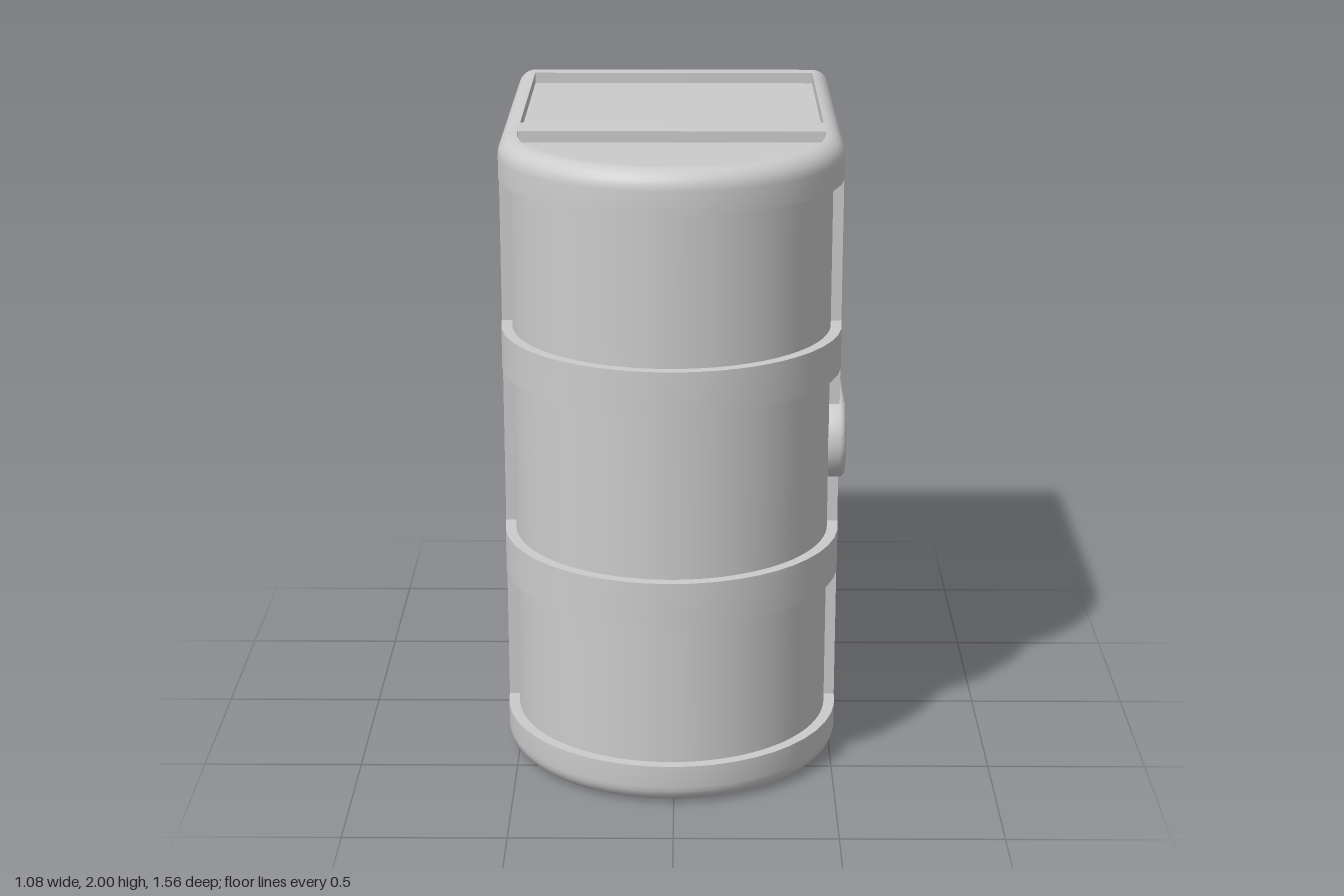
import * as THREE from 'three';
import { toCreasedNormals } from 'three/addons/utils/BufferGeometryUtils.js';

const R = 0.53;         // half width, also the radius of the domed lid
const ZC = 0.25;        // centre of the dome
const BACK = -0.78;
const EDGE = 0.06;      // rounding of the long edges
const RECESS = 0.035;   // depth of the panels
const SEG = 24;

const material = new THREE.MeshStandardMaterial({ color: 0xcccccc });

function part(name, geometry) {
  const mesh = new THREE.Mesh(toCreasedNormals(geometry, 0.6), material);
  mesh.name = name;
  return mesh;
}

// Sweeps a section of [inset, y] points around the U-shaped outline.
function sweepU(section, zStart) {
  const pos = [], index = [], n = section.length, rows = SEG + 3;
  for (let i = 0; i < rows; i++) {
    const t = THREE.MathUtils.clamp((i - 1) / SEG, 0, 1) * Math.PI;
    const leg = i === 0 || i === rows - 1;
    for (const [inset, y] of section) {
      const r = R - inset;
      pos.push(r * Math.cos(t), y, leg ? zStart : ZC + r * Math.sin(t));
    }
  }
  for (let i = 0; i < rows - 1; i++) {
    for (let j = 0; j < n - 1; j++) {
      const a = i * n + j, c = a + n;
      index.push(a, a + 1, c, a + 1, c + 1, c);
    }
  }
  const g = new THREE.BufferGeometry();
  g.setAttribute('position', new THREE.Float32BufferAttribute(pos, 3));
  g.setIndex(index);
  return g;
}

// Upright slab with rounded corners, spanning z0 to z1.
function frameSlab(z0, z1) {
  const s = new THREE.Shape();
  const x = R - EDGE, lo = EDGE, hi = 2 - EDGE, q = Math.PI / 2;
  s.absarc(x, lo, EDGE, -q, 0);
  s.absarc(x, hi, EDGE, 0, q);
  s.absarc(-x, hi, EDGE, q, 2 * q);
  s.absarc(-x, lo, EDGE, 2 * q, 3 * q);
  const g = new THREE.ExtrudeGeometry(s, { depth: z1 - z0, bevelEnabled: false, curveSegments: 6 });
  return g.translate(0, 0, z0);
}

// Recessed inner body: a box with a half-cylinder lid.
function coreBody() {
  const r = R - RECESS, s = new THREE.Shape();
  s.moveTo(-r, BACK + 0.01);
  s.lineTo(r, BACK + 0.01);
  s.lineTo(r, ZC);
  s.absarc(0, ZC, r, 0, Math.PI);
  const g = new THREE.ExtrudeGeometry(s, { depth: 2 - 2 * RECESS, bevelEnabled: false, curveSegments: SEG });
  return g.rotateX(Math.PI / 2).translate(0, 2 - RECESS, 0);
}

// Latch plate with one round end, softened face edge and a square-cut tail.
function latchPlate() {
  const b = 0.02, r = 0.135 - b, tail = 0.03, s = new THREE.Shape();
  s.moveTo(tail - b, -r);
  s.lineTo(tail - b, r);
  s.absarc(-0.17, 0, r, Math.PI / 2, Math.PI * 1.5);
  const g = new THREE.ExtrudeGeometry(s, {
    depth: 0.06, bevelThickness: b, bevelSize: b, bevelSegments: 3, curveSegments: 14,
  });
  const p = g.attributes.position;
  for (let i = 0; i < p.count; i++) if (p.getX(i) > 0) p.setX(i, tail);
  return g.rotateY(Math.PI / 2).translate(0.47, 1.005, 0);
}

export function createModel() {
  const model = new THREE.Group();
  model.name = 'chest';
  model.position.x = -0.01;

  model.add(part('body', coreBody()));
  model.add(part('backPlate', frameSlab(BACK, -0.72)));
  model.add(part('middleFrame', frameSlab(0.1, 0.23)));

  // Rounded rims at both ends
  const rim = [[0.07, 1.87], [0, 1.87]];
  for (let k = 0; k <= 6; k++) {
    const t = (k / 6) * Math.PI / 2;
    rim.push([EDGE * (1 - Math.cos(t)), 2 - EDGE + EDGE * Math.sin(t)]);
  }
  rim.push([EDGE, 1.96]);
  const topRim = part('topRim', sweepU(rim, -0.75));
  const bottomRim = topRim.clone();
  bottomRim.name = 'bottomRim';
  bottomRim.rotation.z = Math.PI;
  bottomRim.position.y = 2;
  model.add(topRim, bottomRim);

  // Raised bands around the lid
  for (const [name, y0, y1] of [['lowerBand', 0.6, 0.735], ['upperBand', 1.27, 1.4]]) {
    const section = [[0.06, y0], [0, y0], [0, y1], [0.06, y1]];
    model.add(part(name, sweepU(section, 0.2)));
  }

  model.add(part('latch', latchPlate()));

  const root = new THREE.Group();
  root.add(model);
  return root;
}
